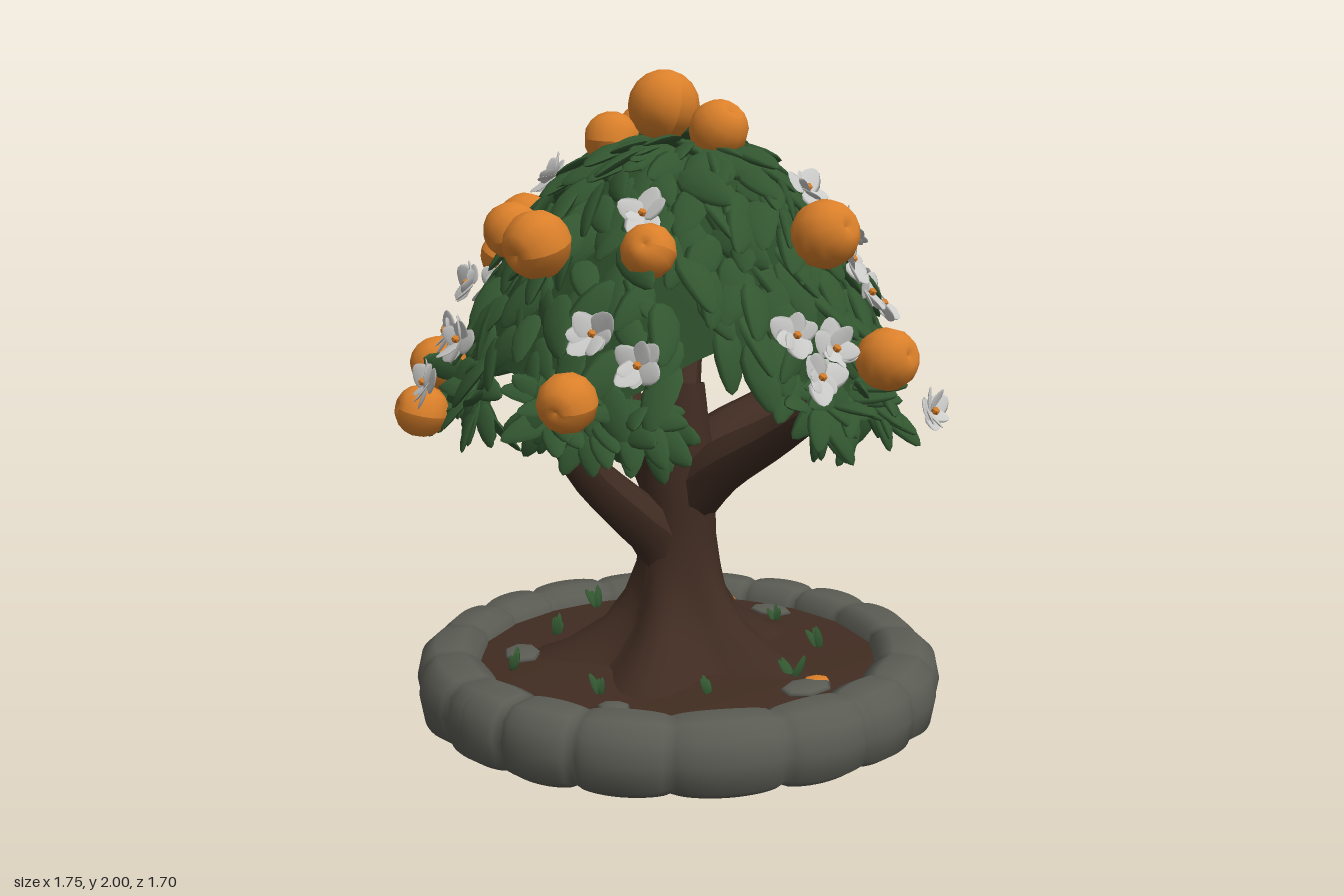
import * as THREE from 'three';
import { mergeGeometries } from 'three/addons/utils/BufferGeometryUtils.js';

const mat = (name, color, side = THREE.FrontSide) => {
  const m = new THREE.MeshStandardMaterial({ color, side });
  m.name = name;
  return m;
};
const V = (x, y, z) => new THREE.Vector3(x, y, z);
let seed = 7;
const rnd = (a = 0, b = 1) => {
  seed = (seed * 16807) % 2147483647;
  return a + (b - a) * (seed / 2147483647);
};

// Move every vertex of a geometry by a rule
function warp(geo, rule) {
  const p = geo.attributes.position, v = V(0, 0, 0);
  for (let i = 0; i < p.count; i++) {
    v.fromBufferAttribute(p, i);
    rule(v, i);
    p.setXYZ(i, v.x, v.y, v.z);
  }
  geo.computeVertexNormals();
  return geo;
}

// Crown surface: a dome with five drooping lobes, the front two joined by a low skirt
const LOBES = [-5, 60, 112, 187, 270].map(THREE.MathUtils.degToRad);
const SKIRT = THREE.MathUtils.degToRad(86);
function lobeWeight(phi) {
  return Math.max(...[...LOBES, SKIRT].map(l => {
    const d = Math.atan2(Math.sin(phi - l), Math.cos(phi - l));
    return Math.exp(-((d / 0.37) ** 2)) * (l === SKIRT ? 0.7 : 1);
  }));
}
const crownRadius = phi => 0.62 + 0.12 * lobeWeight(phi);
function crownPoint(phi, s) {
  const r = crownRadius(phi) * s;
  const drop = 0.62 + 0.18 * lobeWeight(phi);
  return V(r * Math.cos(phi), 1.77 - drop * Math.pow(s, 2.4), r * Math.sin(phi));
}
function crownFrame(phi, s) {
  const pos = crownPoint(phi, s);
  const down = crownPoint(phi, s + 0.02).sub(pos).normalize();
  const side = V(-Math.sin(phi), 0, Math.cos(phi));
  const normal = side.clone().cross(down).normalize();
  if (normal.dot(V(pos.x, 0.4, pos.z)) < 0) normal.negate();
  return { pos, down, side, normal };
}

// Matrix that points local y along dir and local z near up
function place(pos, dir, up, size) {
  const y = dir.clone().normalize();
  const x = y.clone().cross(up).normalize();
  const z = x.clone().cross(y);
  return new THREE.Matrix4().makeBasis(x, y, z).scale(V(size, size, size)).setPosition(pos);
}

// Pointed, curled blade growing along y from the origin
function blade(width, thick, curl) {
  return warp(new THREE.SphereGeometry(1, 8, 6), v => {
    const t = (v.y + 1) / 2;
    v.set(v.x * width * (1.15 - 0.45 * t), t, v.z * thick - curl * t * t);
  });
}

// Tapered branch through a few points
function limb(points, r0, r1) {
  const curve = new THREE.CatmullRomCurve3(points.map(p => V(...p)));
  const n = 12, sides = 9;
  return warp(new THREE.TubeGeometry(curve, n, 1, sides), (v, i) => {
    const t = Math.floor(i / (sides + 1)) / n;
    const c = curve.getPointAt(t);
    v.sub(c).multiplyScalar(r0 + (r1 - r0) * t).add(c);
  });
}

export function createModel() {
  const root = new THREE.Group();
  const stone = mat('stone', 0x5b5c54), soil = mat('soil', 0x412c21);
  const bark = mat('bark', 0x3f2b21, THREE.DoubleSide);
  const leafGreen = mat('leaf green', 0x325630), shellGreen = mat('inner green', 0x2a4a28, THREE.DoubleSide);
  const orange = mat('orange', 0xdb802a), white = mat('petal white', 0xcbcbca);
  const add = (name, geo, material) => {
    const m = new THREE.Mesh(geo, material);
    m.name = name;
    root.add(m);
  };
  const V2 = a => a.map(([x, y]) => new THREE.Vector2(x, y));

  // Ring of bulging stones with a closed base
  const section = V2([[0.63, 0], [0.77, 0], [0.815, 0.03], [0.83, 0.11], [0.815, 0.18], [0.77, 0.22],
    [0.68, 0.225], [0.63, 0.2], [0.61, 0.12], [0.63, 0]]);
  add('stoneRing', warp(new THREE.LatheGeometry(section, 270), v => {
    const phi = Math.atan2(v.z, v.x), r = Math.hypot(v.x, v.z);
    const bulge = Math.pow(Math.abs(Math.sin(phi * 9 + 0.4 * Math.sin(phi * 4 + 1))), 0.4);
    const nr = 0.71 + (r - 0.71) * (0.76 + 0.24 * bulge);
    v.set(nr * Math.cos(phi) + 0.01, 0.11 + (v.y - 0.11) * (0.84 + 0.16 * bulge), nr * Math.sin(phi) + 0.012);
  }), stone);
  add('base', new THREE.CircleGeometry(0.76, 48).rotateX(Math.PI / 2).translate(0.01, 0.008, 0.01), stone);
  add('soil', new THREE.LatheGeometry(V2([[0.68, 0.15], [0.6, 0.17], [0.35, 0.185], [0, 0.2]]), 48), soil);

  // Trunk with flaring roots
  const trunk = V2([[0.42, 0.16], [0.31, 0.21], [0.21, 0.29], [0.16, 0.38], [0.133, 0.47], [0.12, 0.56],
    [0.117, 0.66], [0.122, 0.76], [0.105, 0.86], [0.09, 0.96]]);
  add('trunk', warp(new THREE.LatheGeometry(trunk, 40), v => {
    const k = Math.max(0, (0.46 - v.y) / 0.3);
    const f = 1 + 0.24 * k * Math.cos(5 * Math.atan2(v.z, v.x) + 1.57);
    v.x = v.x * f + 0.015;
    v.z = v.z * f + 0.015;
  }), bark);

  // Four main branches, a short leader, a cut stub and a thin bough
  const limbs = [
    [[[0.02, 0.66, 0], [0.15, 0.78, -0.02], [0.36, 0.91, -0.06], [0.66, 1.1, -0.08]], 0.1, 0.035],
    [[[0, 0.66, 0], [-0.14, 0.78, -0.02], [-0.34, 0.92, -0.06], [-0.62, 1.13, -0.1]], 0.1, 0.035],
    [[[0.015, 0.4, 0.03], [0.01, 0.55, 0.08], [0, 0.66, 0.2], [-0.02, 0.82, 0.36], [-0.03, 1.08, 0.5]], 0.1, 0.04],
    [[[0.01, 0.7, 0], [0.01, 0.83, -0.14], [0, 0.92, -0.36], [0, 1.03, -0.6]], 0.11, 0.035],
    [[[0.01, 0.8, 0], [0.02, 0.92, 0], [0.01, 1.04, -0.01]], 0.1, 0.07],
    [[[0, 0.8, 0.02], [-0.01, 0.9, 0.12], [-0.02, 0.98, 0.28]], 0.07, 0.035],
    [[[0.01, 0.95, 0], [-0.06, 1.16, -0.1], [0.08, 1.3, -0.1], [0.3, 1.4, 0]], 0.06, 0.025],
  ];
  add('branches', mergeGeometries(limbs.map(a => limb(...a))), bark);

  // Inner dome behind the leaves
  add('crownShell', warp(new THREE.PlaneGeometry(1, 1, 70, 12), v => {
    const q = crownPoint((v.x + 0.5) * Math.PI * 2, (v.y + 0.5) * 0.93);
    v.set(q.x * 0.97, q.y - 0.015, q.z * 0.97);
  }), shellGreen);

  // Leaves over the dome, then clumps hanging from the lobes
  const leaf = blade(0.27, 0.08, 0.18), leaves = [];
  const COUNT = 400;
  for (let i = 0; i < COUNT; i++) {
    const phi = i * 2.39996 + rnd(-0.1, 0.1), s = Math.sqrt((i + 0.5) / COUNT) * 0.97;
    const f = crownFrame(phi, s);
    const dir = f.down.clone().addScaledVector(f.normal, rnd(0.05, 0.5)).addScaledVector(f.side, rnd(-0.9, 0.9));
    const up = f.normal.clone().addScaledVector(f.side, rnd(-0.7, 0.7));
    f.pos.addScaledVector(f.down, -0.07).addScaledVector(f.normal, rnd(-0.01, 0.015));
    leaves.push(leaf.clone().applyMatrix4(place(f.pos, dir, up, rnd(0.15, 0.22))));
  }
  for (const l of LOBES) {
    const out = V(Math.cos(l), 0, Math.sin(l)), side = V(-Math.sin(l), 0, Math.cos(l));
    for (let i = 0; i < 52; i++) {
      const dir = out.clone().multiplyScalar(rnd(-0.4, 1)).addScaledVector(side, rnd(-1, 1));
      dir.y = rnd(-1.1, 0.4);
      dir.normalize();
      const pos = out.clone().multiplyScalar(0.65).addScaledVector(side, rnd(-0.16, 0.16));
      pos.y = rnd(1.03, 1.1);
      pos.addScaledVector(dir, 0.03);
      const up = out.clone().add(V(rnd(-0.4, 0.4), 0.7, rnd(-0.4, 0.4)));
      leaves.push(leaf.clone().applyMatrix4(place(pos, dir, up, rnd(0.13, 0.17))));
    }
  }
  add('leaves', mergeGeometries(leaves), leafGreen);

  // Oranges: x, y, z, radius, each with a dimple facing outward
  const fruit = [
    [-0.035, 1.89, 0.03, 0.11], [0.16, 1.82, -0.02, 0.09], [-0.19, 1.81, -0.02, 0.09], [-0.14, 1.79, 0.15, 0.085],
    [-0.13, 1.53, 0.53, 0.085], [0.05, 1.5, 0.57, 0.1], [0.34, 1.49, 0.4, 0.08], [0.58, 1.53, -0.05, 0.1],
    [0.78, 1.19, -0.1, 0.09], [0.36, 1.1, 0.7, 0.085], [-0.57, 1.52, 0.17, 0.095], [-0.51, 1.42, 0.3, 0.075],
    [-0.54, 1.5, 0, 0.075], [-0.77, 1.11, -0.04, 0.085], [-0.79, 1.02, -0.17, 0.085], [-0.31, 1.13, 0.68, 0.085],
    [-0.28, 1, 0.76, 0.08], [-0.28, 1.56, -0.52, 0.09], [-0.42, 1.5, -0.38, 0.09], [-0.43, 1.4, -0.5, 0.075],
    [-0.03, 1.01, -0.76, 0.08], [-0.04, 1.2, -0.71, 0.075], [-0.28, 1.03, -0.68, 0.07],
  ];
  const ball = warp(new THREE.SphereGeometry(1, 12, 9), v => { if (v.y > 0.99) v.y = 0.78; });
  add('oranges', mergeGeometries(fruit.map(([x, y, z, r]) =>
    ball.clone().applyMatrix4(place(V(x, y, z), V(x, rnd(-0.3, 0.3), z + 0.01), V(0.1, 1, 0), r)))), orange);

  // Blossoms at x, z on the dome, or at a given height: ragged petals around a small centre
  const spots = [[-0.17, -0.74, 1.2], [-0.13, -0.69], [0, -0.68, 1.3], [0.06, -0.64], [0.12, -0.58], [0.24, -0.51],
    [0.15, -0.42], [0.26, -0.44, 1.5], [-0.17, -0.5], [0.3, -0.33], [0.44, -0.36], [0.5, -0.29, 1.33], [0.33, -0.16],
    [0.47, -0.2], [-0.28, -0.16], [-0.58, -0.18], [-0.23, 0.29, 1.66], [-0.43, 0.34], [-0.29, 0.55, 1.35],
    [-0.26, 0.65, 1.22], [-0.08, 0.73, 1.22], [-0.18, 0.78, 1.09], [0, 0.49], [0.36, 0.6, 1.27], [0.47, 0.54, 1.19],
    [0.62, 0.12, 1.25], [0.72, 0.07, 1.22], [0.74, 0.14, 1.15], [0.8, -0.24, 1.02], [-0.53, -0.32, 0.95],
    [-0.47, -0.3, 0.98], [-0.5, -0.36, 1], [-0.6, -0.24], [0.26, 0.34]];
  const petal = blade(0.46, 0.06, -0.15), petals = [], hearts = [];
  for (const [x, z, y] of spots) {
    const phi = Math.atan2(z, x);
    const f = crownFrame(phi, Math.min(0.97, Math.hypot(x, z) / crownRadius(phi)));
    if (y) f.pos.set(x, y, z);
    f.pos.addScaledVector(f.normal, y ? 0.02 : 0.055);
    for (let k = 0; k < 8; k++) {
      const a = k * Math.PI / 4 + rnd(-0.4, 0.4);
      const dir = f.side.clone().multiplyScalar(Math.cos(a)).addScaledVector(f.down, Math.sin(a))
        .addScaledVector(f.normal, rnd(-0.1, 0.5));
      const up = f.normal.clone().addScaledVector(f.side, rnd(-0.6, 0.6));
      petals.push(petal.clone().applyMatrix4(place(f.pos, dir, up, rnd(0.055, 0.092))));
    }
    hearts.push(new THREE.IcosahedronGeometry(0.013, 0).translate(...f.pos.addScaledVector(f.normal, 0.016)));
  }
  add('blossomPetals', mergeGeometries(petals), white);
  add('blossomCentres', mergeGeometries(hearts), orange);

  // Flat stones and fallen peel: x, z, length, width
  const patch = ([x, z, w, d]) => new THREE.SphereGeometry(1, 7, 6).scale(w, 0.014, d)
    .rotateY(-Math.atan2(z, x)).translate(x, 0.182, z);
  const pebbles = [[-0.27, 0.42, 0.06, 0.09], [0.54, -0.04, 0.065, 0.095], [-0.1, -0.5, 0.055, 0.08],
    [-0.4, -0.25, 0.06, 0.095], [0.3, 0.5, 0.04, 0.05]];
  const peel = [[0.52, -0.1, 0.04, 0.05], [-0.43, -0.19, 0.045, 0.045], [-0.32, -0.46, 0.045, 0.06]];
  add('flatStones', mergeGeometries(pebbles.map(patch)), stone);
  add('fallenPeel', mergeGeometries(peel.map(patch)), orange);

  // Grass tufts near the ring
  const grass = [], straw = blade(0.2, 0.06, 0.3);
  for (let i = 0; i < 9; i++) {
    const a = i * 0.7 + 0.5, q = rnd(0.42, 0.6);
    for (let k = 0; k < 4; k++) {
      const dir = V(rnd(-0.6, 0.6), 1, rnd(-0.6, 0.6));
      grass.push(straw.clone().applyMatrix4(place(V(q * Math.cos(a), 0.17, q * Math.sin(a)), dir, V(1, 0, 0.2), rnd(0.05, 0.08))));
    }
  }
  add('grassTufts', mergeGeometries(grass), leafGreen);
  return root;
}
